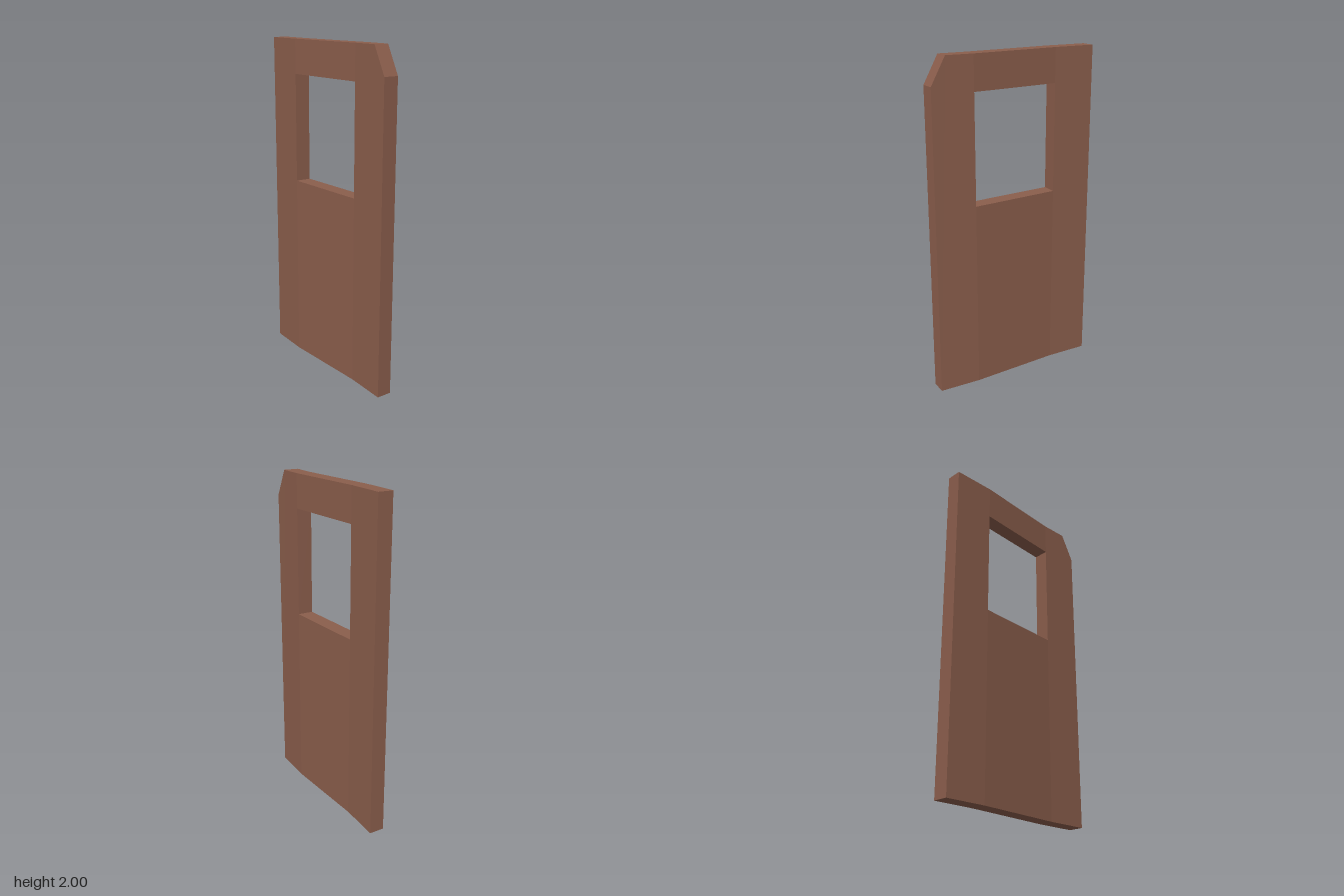
import * as THREE from 'three';

// Plan cross-sections from back to front: [x, z] on the -x face and on the +x face
const SECTIONS = [
  { inner: [0.014, -0.528], outer: [0.105, -0.517] }, // 0 back edge
  { inner: [-0.026, -0.279], outer: [0.066, -0.265] }, // 1 back bend
  { inner: [-0.066, 0.265], outer: [0.026, 0.279] }, // 2 front bend
  { inner: [-0.092, 0.431], outer: [-0.001, 0.442] }, // 3 top of the cut corner
  { inner: [-0.105, 0.517], outer: [-0.014, 0.528] }, // 4 front edge
];
const TOP = 2, CORNER = 1.84, SILL = 1.14, HEAD = 1.795;

// Flat panels as [section, height], counter-clockwise from +x
const PANELS = [
  [[4, 0], [2, 0], [2, SILL], [2, HEAD], [2, TOP], [3, TOP], [4, CORNER]],
  [[2, 0], [1, 0], [1, SILL], [2, SILL]],
  [[2, HEAD], [1, HEAD], [1, TOP], [2, TOP]],
  [[0, 0], [0, TOP], [1, TOP], [1, HEAD], [1, SILL], [1, 0]],
];
// Outer edge, and the window opening in the opposite direction
const RIMS = [
  [[4, 0], [2, 0], [1, 0], [0, 0], [0, TOP], [1, TOP], [2, TOP], [3, TOP], [4, CORNER]],
  [[1, SILL], [2, SILL], [2, HEAD], [1, HEAD]],
];

function doorGeometry() {
  const positions = [];
  const corner = ([section, y], side) => {
    const [x, z] = SECTIONS[section][side];
    return [x, y, z];
  };
  const polygon = (points) => {
    for (let i = 1; i < points.length - 1; i++) {
      positions.push(...points[0], ...points[i], ...points[i + 1]);
    }
  };

  // Both broad faces
  for (const panel of PANELS) {
    polygon(panel.map((p) => corner(p, 'outer')));
    polygon(panel.map((p) => corner(p, 'inner')).reverse());
  }
  // Thickness around the edge and the window
  for (const rim of RIMS) {
    rim.forEach((a, i) => {
      const b = rim[(i + 1) % rim.length];
      polygon([corner(a, 'outer'), corner(a, 'inner'), corner(b, 'inner'), corner(b, 'outer')]);
    });
  }

  const geometry = new THREE.BufferGeometry();
  geometry.setAttribute('position', new THREE.Float32BufferAttribute(positions, 3));
  geometry.computeVertexNormals();
  return geometry;
}

export function createModel() {
  const group = new THREE.Group();
  group.name = 'door';
  const material = new THREE.MeshStandardMaterial({ color: 0x8b5e4c, flatShading: true });
  const panel = new THREE.Mesh(doorGeometry(), material);
  panel.name = 'doorPanel';
  group.add(panel);
  return group;
}
